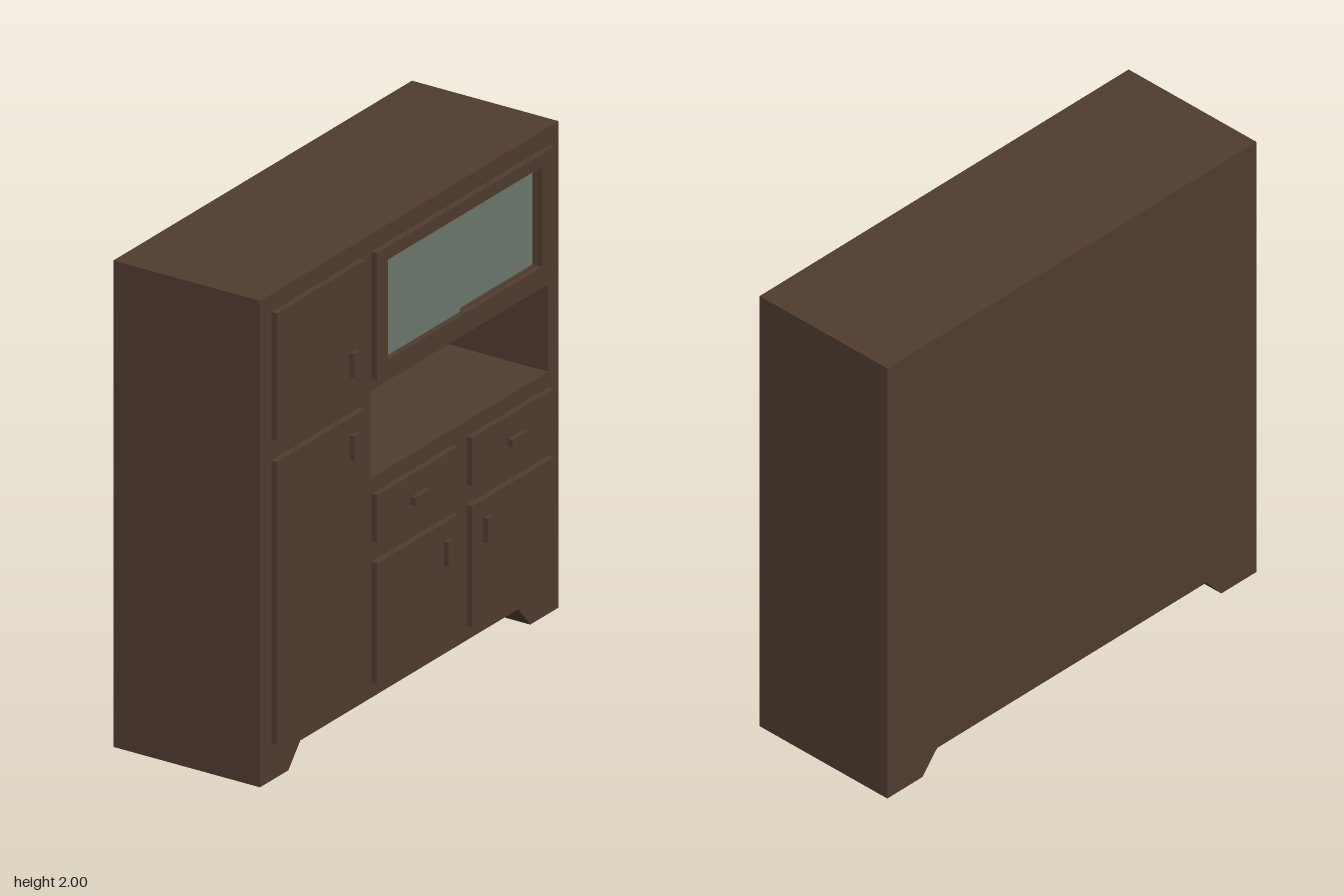
import * as THREE from 'three';

const wood = new THREE.MeshStandardMaterial({ color: 0x503c30 });
const glass = new THREE.MeshStandardMaterial({ color: 0x6d786c });

const BACK = -0.36, FRONT = 0.305;      // carcass depth along x
const DOOR_BACK = 0.31, DOOR_FRONT = 0.335, HANDLE_FRONT = 0.357;

// Rectangles are [u0, u1, y0, y1], where u runs to the right across the front (u = -z).
const NICHE = [-0.26, 0.93, 0.995, 1.355];
const WINDOW = [-0.187, 0.845, 1.465, 1.877];

function rectPoints([u0, u1, y0, y1]) {
  return [[u0, y0], [u1, y0], [u1, y1], [u0, y1]].map(([u, y]) => new THREE.Vector2(u, y));
}

// Box covering a front rectangle between two depths
function slab(name, [u0, u1, y0, y1], x0, x1, material = wood) {
  const mesh = new THREE.Mesh(new THREE.BoxGeometry(x1 - x0, y1 - y0, u1 - u0), material);
  mesh.position.set((x0 + x1) / 2, (y0 + y1) / 2, -(u0 + u1) / 2);
  mesh.name = name;
  return mesh;
}

// Front outline with openings, extruded between two depths
function panel(name, outline, openings, x0, x1) {
  const shape = new THREE.Shape(outline);
  for (const o of openings) shape.holes.push(new THREE.Path(rectPoints(o)));
  const geometry = new THREE.ExtrudeGeometry(shape, { depth: x1 - x0, bevelEnabled: false });
  geometry.rotateY(Math.PI / 2);
  geometry.translate(x0, 0, 0);
  const mesh = new THREE.Mesh(geometry, wood);
  mesh.name = name;
  return mesh;
}

export function createModel() {
  const group = new THREE.Group();
  group.name = 'cabinet';

  // Carcass with sloped feet, an open niche and a window opening
  const outline = [
    [-1, 0], [-0.81, 0], [-0.73, 0.093], [0.73, 0.093], [0.81, 0], [1, 0], [1, 2], [-1, 2],
  ].map(([u, y]) => new THREE.Vector2(u, y));
  group.add(panel('carcass', outline, [NICHE, WINDOW], BACK, FRONT));
  group.add(slab('nicheBack', NICHE, BACK, BACK + 0.03));
  group.add(slab('displayBack', WINDOW, BACK, BACK + 0.03));

  // Display frame and two sliding panes, the left one running in front
  group.add(panel('displayFrame', rectPoints([-0.26, 0.93, 1.405, 1.93]), [WINDOW], DOOR_BACK, DOOR_FRONT));
  const [u0, u1, y0, y1] = WINDOW, mid = 0.332;
  group.add(slab('leftPane', [u0, mid, y0, y1], 0.292, 0.31, glass));
  group.add(slab('rightPane', [mid - 0.02, u1, y0, y1], 0.274, 0.291, glass));

  // Doors and drawers, each with its handle
  const fronts = [
    ['upperDoor', [-0.93, -0.34, 1.405, 1.93], [-0.445, -0.41, 1.49, 1.59]],
    ['tallDoor', [-0.93, -0.34, 0.155, 1.32], [-0.445, -0.41, 1.15, 1.25]],
    ['leftDrawer', [-0.26, 0.285, 0.74, 0.935], [-0.035, 0.07, 0.813, 0.845]],
    ['rightDrawer', [0.375, 0.93, 0.74, 0.935], [0.613, 0.715, 0.813, 0.845]],
    ['lowerLeftDoor', [-0.26, 0.285, 0.155, 0.655], [0.187, 0.222, 0.48, 0.58]],
    ['lowerRightDoor', [0.375, 0.93, 0.155, 0.655], [0.45, 0.485, 0.48, 0.58]],
  ];
  for (const [name, face, handle] of fronts) {
    group.add(slab(name, face, DOOR_BACK, DOOR_FRONT));
    group.add(slab(name + 'Handle', handle, DOOR_FRONT, HANDLE_FRONT));
  }
  return group;
}
